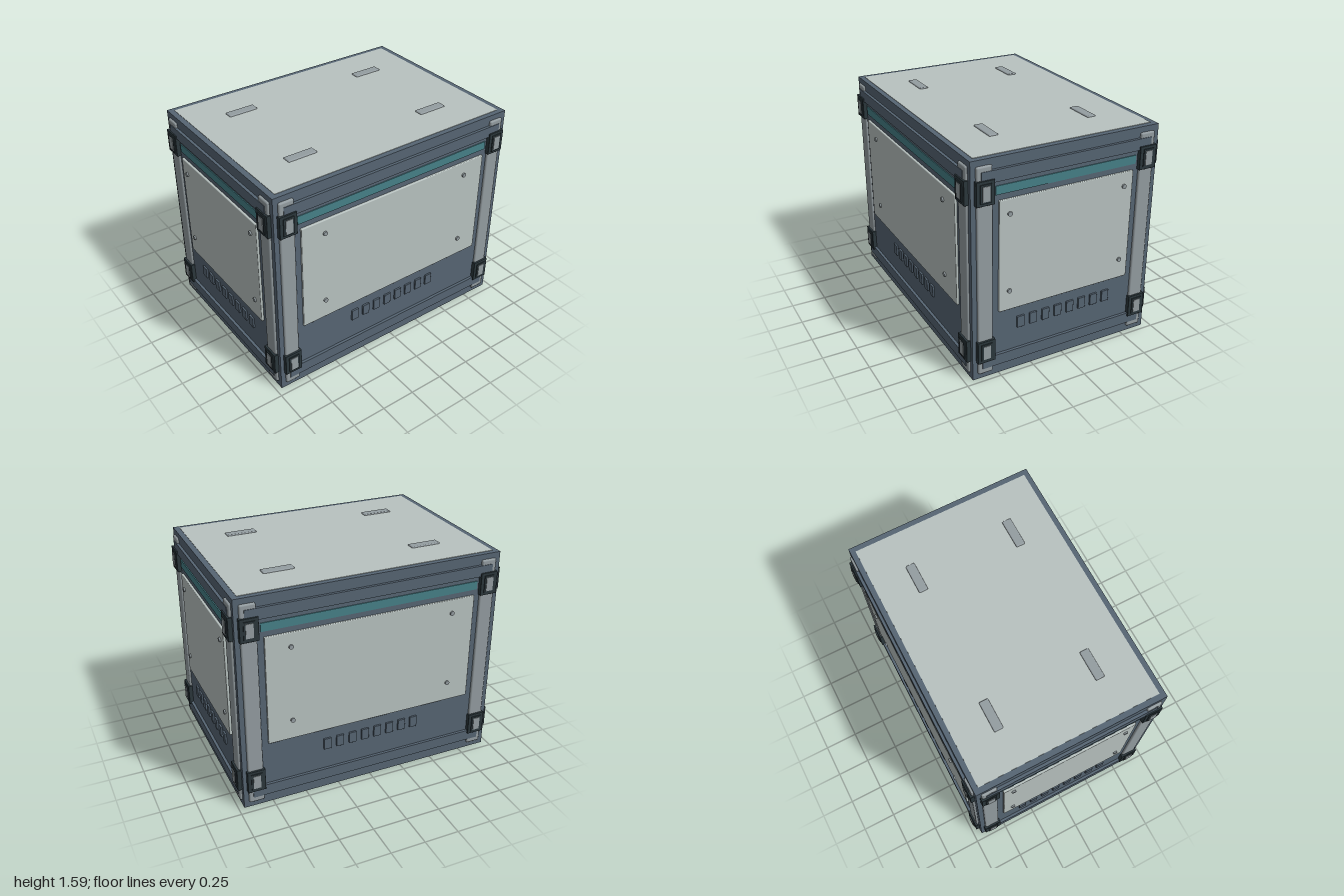
import * as THREE from 'three';
import { RoundedBoxGeometry } from 'three/addons/geometries/RoundedBoxGeometry.js';

const material = (name, color) => {
  const m = new THREE.MeshStandardMaterial({ color });
  m.name = name;
  return m;
};

export function createModel() {
  const shell = material('slate shell', 0x566573);
  const panelMat = material('pale panel', 0xb8c2c0);
  const trim = material('grey trim', 0x949da1);
  const dark = material('dark clamp', 0x2b373c);
  const teal = material('teal stripe', 0x468088);

  const HX = 0.96, HZ = 0.692, H = 1.575;
  const crate = new THREE.Group();
  crate.name = 'crate';

  const add = (parent, name, geometry, mat, x, y, z) => {
    const mesh = new THREE.Mesh(geometry, mat);
    mesh.name = name;
    mesh.position.set(x, y, z);
    parent.add(mesh);
    return mesh;
  };

  // Plate standing on a wall at z = 0: it sinks in a little and stands proud by `out`
  const plate = (parent, name, w, h, out, mat, x, y, radius = 0) => {
    const sink = 0.012, d = out + sink;
    const geometry = radius
      ? new RoundedBoxGeometry(w, h, d, 2, radius)
      : new THREE.BoxGeometry(w, h, d);
    return add(parent, name, geometry, mat, x, y, out - d / 2);
  };

  // Main box
  add(crate, 'body', new THREE.BoxGeometry(HX * 2, H, HZ * 2), shell, 0, H / 2, 0);

  // Lid panel and its four stacking pads
  add(crate, 'lidPanel', new THREE.BoxGeometry(1.84, 0.006, 1.31), panelMat, 0, H, 0);
  for (const x of [-0.545, 0.545]) {
    for (const z of [-0.37, 0.37]) {
      add(crate, 'stackingPad', new RoundedBoxGeometry(0.22, 0.024, 0.066, 2, 0.008), trim, x, H, z);
    }
  }

  // One wall's fittings, built facing +z; w is half the wall's width
  const buildWall = (name, w, boltX) => {
    const wall = new THREE.Group();
    wall.name = name;

    plate(wall, 'wallPanel', (w - 0.19) * 2, 0.8, 0.016, panelMat, 0, 0.885, 0.006);
    plate(wall, 'stripe', (w - 0.17) * 2, 0.06, 0.006, teal, 0, 1.355);

    // Horizontal rails cross in front of the posts
    for (const y of [0.12, 1.46]) {
      plate(wall, 'rail', (w - 0.065) * 2, 0.08, 0.02, shell, 0, y);
    }

    for (const side of [-1, 1]) {
      const x = side * (w - 0.09);
      plate(wall, 'cornerPost', 0.11, 1.495, 0.016, trim, x, 0.7875, 0.012);
      // Clamps with a raised centre
      for (const y of [0.218, 1.363]) {
        plate(wall, 'clamp', 0.128, 0.165, 0.03, dark, x, y, 0.003);
        plate(wall, 'clampRim', 0.078, 0.125, 0.036, dark, x, y);
        plate(wall, 'clampCentre', 0.052, 0.1, 0.04, trim, x, y);
      }
      // Panel bolts
      for (const y of [0.632, 1.185]) {
        const bolt = add(wall, 'bolt', new THREE.CylinderGeometry(0.016, 0.016, 0.026, 16), trim, side * boltX, y, 0.014);
        bolt.rotation.x = Math.PI / 2;
      }
    }

    // Row of raised vent blocks
    for (let i = 0; i < 8; i++) {
      plate(wall, 'ventBlock', 0.056, 0.085, 0.013, shell, (i - 3.5) * 0.0963, 0.363, 0.003);
    }
    return wall;
  };

  // Four walls: name, half width, distance from centre, bolt offset, turn
  const walls = [
    ['frontWall', HX, HZ, 0.595, 0],
    ['leftWall', HZ, HX, 0.43, Math.PI / 2],
    ['backWall', HX, HZ, 0.595, Math.PI],
    ['rightWall', HZ, HX, 0.43, -Math.PI / 2],
  ];
  for (const [name, w, distance, boltX, turn] of walls) {
    const wall = buildWall(name, w, boltX);
    wall.rotation.y = turn;
    wall.position.set(Math.sin(turn) * distance, 0, Math.cos(turn) * distance);
    crate.add(wall);
  }
  return crate;
}
